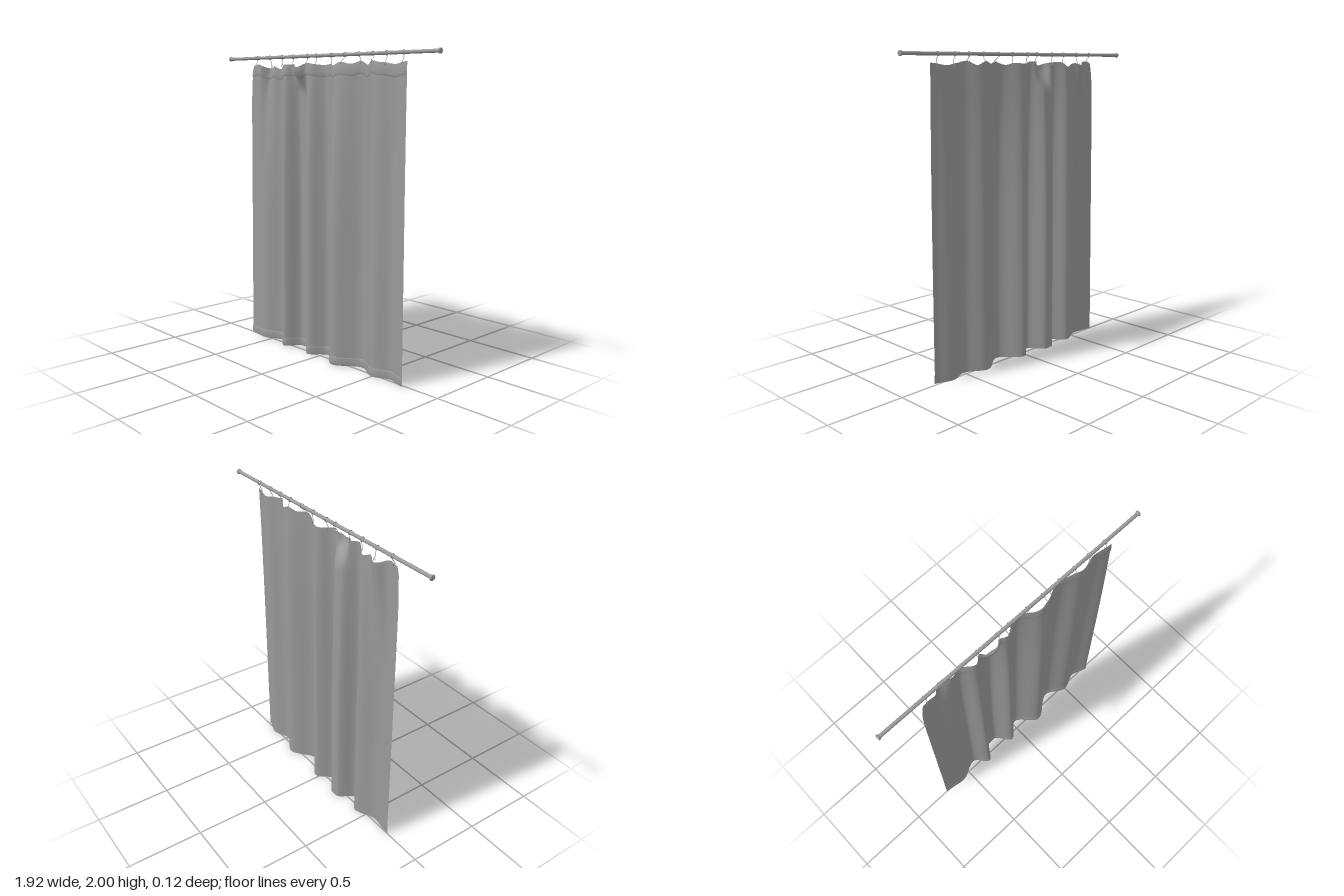
import * as THREE from 'three';

const ROD_Y = 1.983, ROD_Z = -0.012;
const hookXs = [-0.645, -0.515, -0.385, -0.275, -0.13, -0.045, 0.09, 0.21, 0.335, 0.45, 0.56, 0.69];

// Smooth function through [x, value] points, flat at each point
function profile(points) {
  return x => {
    let i = 0;
    while (i < points.length - 2 && x > points[i + 1][0]) i++;
    const [x0, a] = points[i], [x1, b] = points[i + 1];
    return THREE.MathUtils.lerp(a, b, THREE.MathUtils.smoothstep(x, x0, x1));
  };
}

// Depth of the folds at the bottom and top of the cloth, and height of its top edge
const foldBottom = profile([[-0.72, 0.0], [-0.57, 0.018], [-0.42, -0.038], [-0.325, 0.042], [-0.235, -0.057],
  [-0.185, -0.06], [-0.085, 0.037], [0.025, -0.052], [0.175, 0.058], [0.355, -0.046], [0.5, 0.022], [0.62, -0.02], [0.74, 0.014]]);
const foldTop = profile([[-0.72, 0.0], [-0.63, 0.002], [-0.56, -0.05], [-0.48, -0.018], [-0.42, -0.03],
  [-0.325, 0.02], [-0.24, -0.036], [-0.18, -0.036], [-0.085, 0.016], [0.02, -0.042], [0.18, 0.024], [0.36, -0.034],
  [0.5, 0.014], [0.62, -0.016], [0.74, 0.004]]);
const topEdge = profile([[-0.72, 1.93], [-0.66, 1.94], [-0.57, 1.912], [-0.51, 1.928], [-0.43, 1.905],
  [-0.375, 1.935], [-0.27, 1.932], [-0.19, 1.914], [-0.12, 1.94], [0.0, 1.925], [0.08, 1.93], [0.13, 1.918],
  [0.21, 1.938], [0.27, 1.926], [0.335, 1.942], [0.4, 1.918], [0.46, 1.943], [0.54, 1.93], [0.63, 1.918], [0.74, 1.932]]);

// Point on the cloth for a nominal x and a height fraction t
function clothPoint(x, t) {
  let z = THREE.MathUtils.lerp(foldBottom(x), foldTop(x), Math.pow(t, 4));
  // Pleat whose top leans forward to the hook line
  z += 0.066 * Math.exp(-Math.pow((x + 0.2) / 0.058, 4)) * THREE.MathUtils.smoothstep(t, 0.91, 1);
  // Side edges draw in towards the top
  const pull = x < 0 ? 0.022 * t + 0.028 * Math.pow(t, 22) : 0.008 * t * t;
  const px = x * (1 - pull * Math.abs(x) / 0.53);
  return new THREE.Vector3(px, t * topEdge(x), z);
}

// Sheet following the cloth; each row is [height fraction, forward lift]
function buildSheet(name, rows, material) {
  const nx = 240, pos = [], idx = [];
  rows.forEach(([t, lift], j) => {
    for (let i = 0; i <= nx; i++) {
      const p = clothPoint(-0.72 + 1.46 * i / nx, t);
      pos.push(p.x, p.y, p.z + lift);
      if (i < nx && j < rows.length - 1) {
        const a = j * (nx + 1) + i, c = a + nx + 1;
        idx.push(a, a + 1, c + 1, a, c + 1, c);
      }
    }
  });
  const geo = new THREE.BufferGeometry();
  geo.setAttribute('position', new THREE.Float32BufferAttribute(pos, 3));
  geo.setIndex(idx);
  geo.computeVertexNormals();
  const mesh = new THREE.Mesh(geo, material);
  mesh.name = name;
  return mesh;
}

export function createModel() {
  const model = new THREE.Group();
  model.name = 'curtainOnRod';
  const metal = new THREE.MeshStandardMaterial({ color: 0x999999 });
  const cloth = new THREE.MeshStandardMaterial({ color: 0x999999, side: THREE.DoubleSide });

  // Rod with a turned flange at each end, as one lathe profile along x
  const half = [[0, 0.96], [0.014, 0.96], [0.017, 0.957], [0.017, 0.951], [0.014, 0.947], [0.011, 0.945]];
  const outline = [...half.map(([r, l]) => [r, -l]), ...half.slice().reverse()]
    .map(([r, l]) => new THREE.Vector2(r, l));
  const rod = new THREE.Mesh(new THREE.LatheGeometry(outline, 24), metal);
  rod.name = 'rod';
  rod.rotation.z = -Math.PI / 2;
  rod.position.set(0, ROD_Y, ROD_Z);
  model.add(rod);

  // Cloth, with rows closer together near the top
  const clothRows = [];
  for (let i = 0; i <= 48; i++) clothRows.push([1 - Math.pow(1 - i / 48, 1.5), 0]);
  model.add(buildSheet('curtain', clothRows, cloth));

  // Hems folded onto the front
  model.add(buildSheet('bottomHem', [[0, 0.001], [0.004, 0.004], [0.014, 0.004], [0.024, 0.004], [0.028, 0.0005]], cloth));
  model.add(buildSheet('topHem', [[0.961, 0.0005], [0.964, 0.004], [0.972, 0.004], [0.981, 0.004], [0.99, 0.003], [1, 0.001]], cloth));

  // Hooks: a ring round the rod and a wire down to the cloth
  const ringGeo = new THREE.TorusGeometry(0.0135, 0.002, 8, 20);
  for (const x of hookXs) {
    const hook = new THREE.Group();
    hook.name = 'hook';
    const ring = new THREE.Mesh(ringGeo, metal);
    ring.name = 'hookRing';
    ring.rotation.y = Math.PI / 2;
    ring.position.set(x, ROD_Y, ROD_Z);
    const end = clothPoint(x, 0.994);
    const path = new THREE.CatmullRomCurve3([
      new THREE.Vector3(x, ROD_Y - 0.013, ROD_Z),
      new THREE.Vector3(x + 0.005, ROD_Y - 0.024, ROD_Z * 0.7 + end.z * 0.3),
      new THREE.Vector3(x + 0.002, end.y + 0.012, end.z + 0.006),
      new THREE.Vector3(x, end.y - 0.002, end.z + 0.005),
      new THREE.Vector3(x, end.y - 0.002, end.z - 0.005),
      new THREE.Vector3(x - 0.003, end.y + 0.014, end.z - 0.005),
    ]);
    const wire = new THREE.Mesh(new THREE.TubeGeometry(path, 24, 0.0016, 6), metal);
    wire.name = 'hookWire';
    hook.add(ring, wire);
    model.add(hook);
  }
  return model;
}
